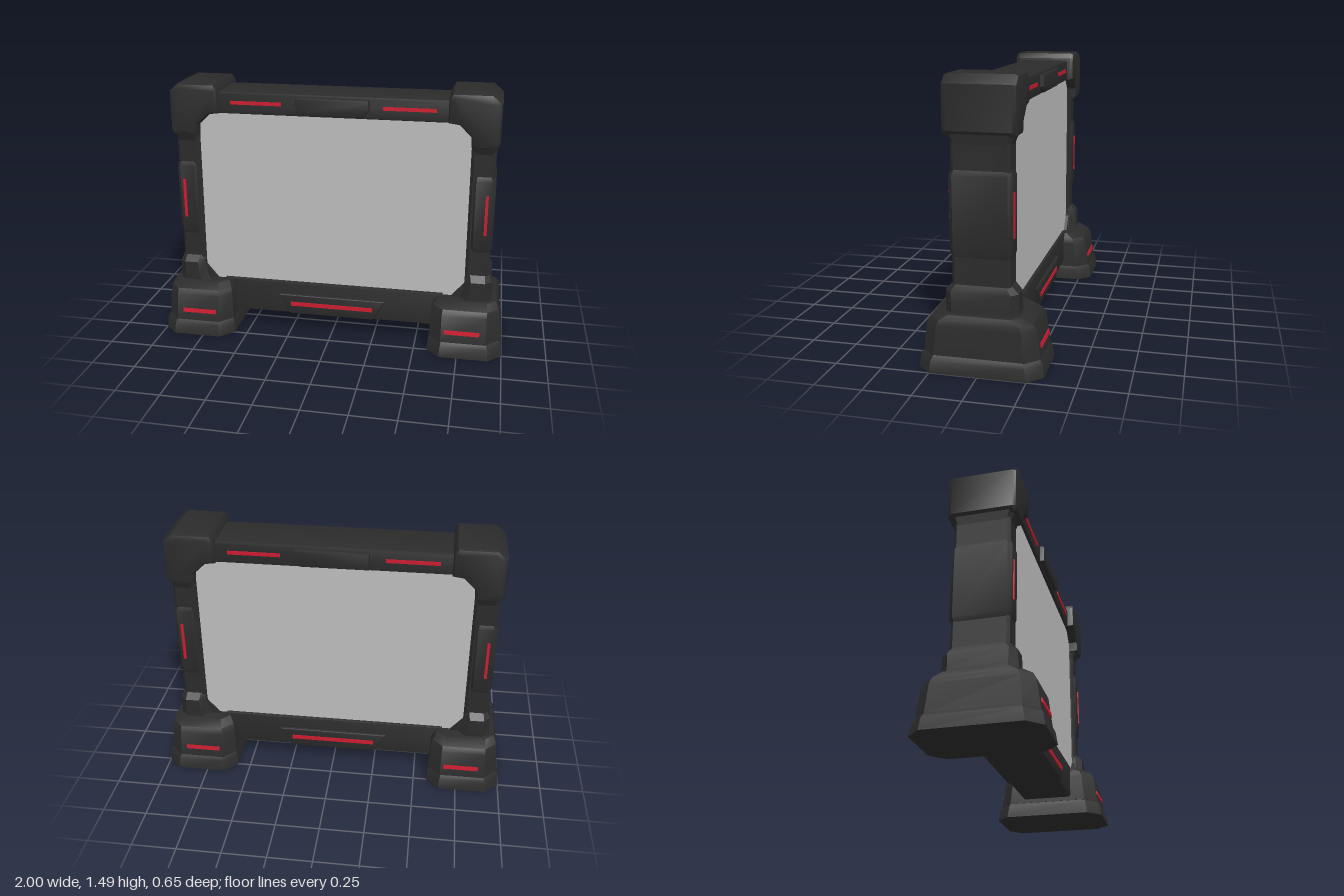
import * as THREE from 'three';
import { toCreasedNormals } from 'three/addons/utils/BufferGeometryUtils.js';

const mat = (name, color) => {
  const m = new THREE.MeshStandardMaterial({ color });
  m.name = name;
  return m;
};

export function createModel() {
  const group = new THREE.Group();
  group.name = 'framedScreen';
  const dark = mat('charcoal casing', 0x2b2b2b);
  const red = mat('red light', 0xcc1c30);
  const grey = mat('light grey screen', 0xbcbcbc);

  const add = (name, geometry, material = dark) => {
    const mesh = new THREE.Mesh(geometry, material);
    mesh.name = name;
    group.add(mesh);
    return mesh;
  };

  // Outline in x/y, extruded to z = -half..half, with edges bevelled inwards
  const prism = (points, half, bevel) => {
    const shape = new THREE.Shape(points.map(([x, y]) => new THREE.Vector2(x, y)));
    const geo = new THREE.ExtrudeGeometry(shape, {
      depth: 2 * (half - bevel), bevelEnabled: bevel > 0, bevelSegments: 2,
      bevelSize: bevel, bevelThickness: bevel, bevelOffset: -bevel,
    });
    geo.translate(0, 0, -(half - bevel));
    return toCreasedNormals(geo, 0.6);
  };
  const rect = (x0, x1, y0, y1) => [[x0, y0], [x1, y0], [x1, y1], [x0, y1]];

  // Stack of chamfered rectangles: rows of [y, inner x, outer x, half z, chamfer]
  const loft = (rows, s) => {
    const rings = rows.map(([y, xi, xo, z, c]) => {
      const x0 = Math.min(s * xi, s * xo), x1 = Math.max(s * xi, s * xo);
      return [[x1, z - c], [x1 - c, z], [x0 + c, z], [x0, z - c],
        [x0, c - z], [x0 + c, -z], [x1 - c, -z], [x1, c - z]].map(([x, zz]) => [x, y, zz]);
    });
    const pos = [];
    const tri = (...p) => p.forEach((v) => pos.push(...v));
    for (let r = 0; r < rings.length - 1; r++) {
      const lo = rings[r], up = rings[r + 1];
      for (let i = 0; i < 8; i++) {
        const j = (i + 1) % 8;
        tri(lo[i], up[i], lo[j]);
        tri(lo[j], up[i], up[j]);
      }
    }
    const bottom = rings[0], top = rings[rings.length - 1];
    for (let i = 1; i < 7; i++) {
      tri(bottom[0], bottom[i], bottom[i + 1]);
      tri(top[0], top[i + 1], top[i]);
    }
    const geo = new THREE.BufferGeometry();
    geo.setAttribute('position', new THREE.Float32BufferAttribute(pos, 3));
    return toCreasedNormals(geo, 0.5);
  };

  // Light strips on both front and back
  const strip = (name, x, y, z, w, h, tilt = 0) => {
    for (const f of [1, -1]) {
      const mesh = add(name, new THREE.BoxGeometry(w, h, 0.009), red);
      mesh.position.set(x, y, f * z);
      mesh.rotation.x = -f * tilt;
    }
  };

  // Screen slab with cut corners, visible from both sides
  add('screen', prism([[-0.71, 0.3], [0.71, 0.3], [0.78, 0.38], [0.78, 1.25],
    [0.7, 1.325], [-0.7, 1.325], [-0.78, 1.25], [-0.78, 0.38]], 0.128, 0), grey);

  // Horizontal rails and their raised panels
  add('topRail', prism(rect(-0.7, 0.7, 1.315, 1.44), 0.147, 0.012));
  add('topPanel', prism([[-0.2, 1.325], [0.17, 1.325], [0.21, 1.36], [0.21, 1.425], [-0.2, 1.425]], 0.172, 0.012));
  add('bottomRail', prism(rect(-0.65, 0.65, 0.108, 0.31), 0.147, 0.012));
  add('bottomPanel', prism([[-0.25, 0.112], [0.25, 0.112], [0.32, 0.235], [-0.32, 0.235]], 0.163, 0.01));
  strip('bottomLight', 0, 0.178, 0.164, 0.49, 0.024);

  for (const s of [1, -1]) {
    const flip = (pts) => pts.map(([x, y]) => [s * x, y]);

    // Upright post with a slightly raised sleeve
    add('post', loft([[0.28, 0.77, 0.905, 0.15, 0.015], [1.25, 0.77, 0.905, 0.15, 0.015]], s));
    add('postSleeve', loft([[0.58, 0.79, 0.903, 0.148, 0.02], [0.61, 0.785, 0.913, 0.16, 0.02],
      [1.0, 0.785, 0.913, 0.16, 0.02], [1.03, 0.79, 0.903, 0.148, 0.02]], s));

    // Upper corner guard and the flare beneath it
    add('cornerGuard', prism(flip([[0.64, 1.32], [0.64, 1.455], [0.66, 1.485], [0.87, 1.485],
      [0.923, 1.44], [0.923, 1.215], [0.905, 1.19], [0.77, 1.19], [0.765, 1.25], [0.7, 1.312]]), 0.19, 0.025));
    add('cornerFlare', loft([[1.15, 0.772, 0.905, 0.15, 0.02], [1.22, 0.772, 0.915, 0.18, 0.03]], s));

    // Collar and gusset where the post meets the foot
    add('footCollar', loft([[0.28, 0.74, 0.93, 0.19, 0.04], [0.33, 0.76, 0.925, 0.19, 0.04],
      [0.41, 0.772, 0.922, 0.188, 0.035], [0.445, 0.775, 0.908, 0.155, 0.025]], s));
    add('gusset', prism(flip([[0.69, 0.29], [0.79, 0.29], [0.79, 0.41]]), 0.147, 0));

    // Stepped foot
    add('footBase', loft([[0, 0.575, 1.0, 0.325, 0.075], [0.065, 0.58, 0.995, 0.315, 0.075],
      [0.09, 0.59, 0.98, 0.3, 0.07]], s));
    add('footBody', loft([[0.085, 0.585, 0.98, 0.303, 0.07], [0.24, 0.592, 0.972, 0.283, 0.065],
      [0.27, 0.6, 0.968, 0.265, 0.06], [0.3, 0.625, 0.955, 0.21, 0.05]], s));

    // Lights on rail, post and foot
    strip('topLight', s * 0.43, 1.38, 0.148, 0.29, 0.02);
    strip('postLight', s * 0.869, 0.805, 0.161, 0.016, 0.23);
    strip('footLight', s * 0.772, 0.145, 0.297, 0.2, 0.024, 0.13);
  }
  return group;
}
